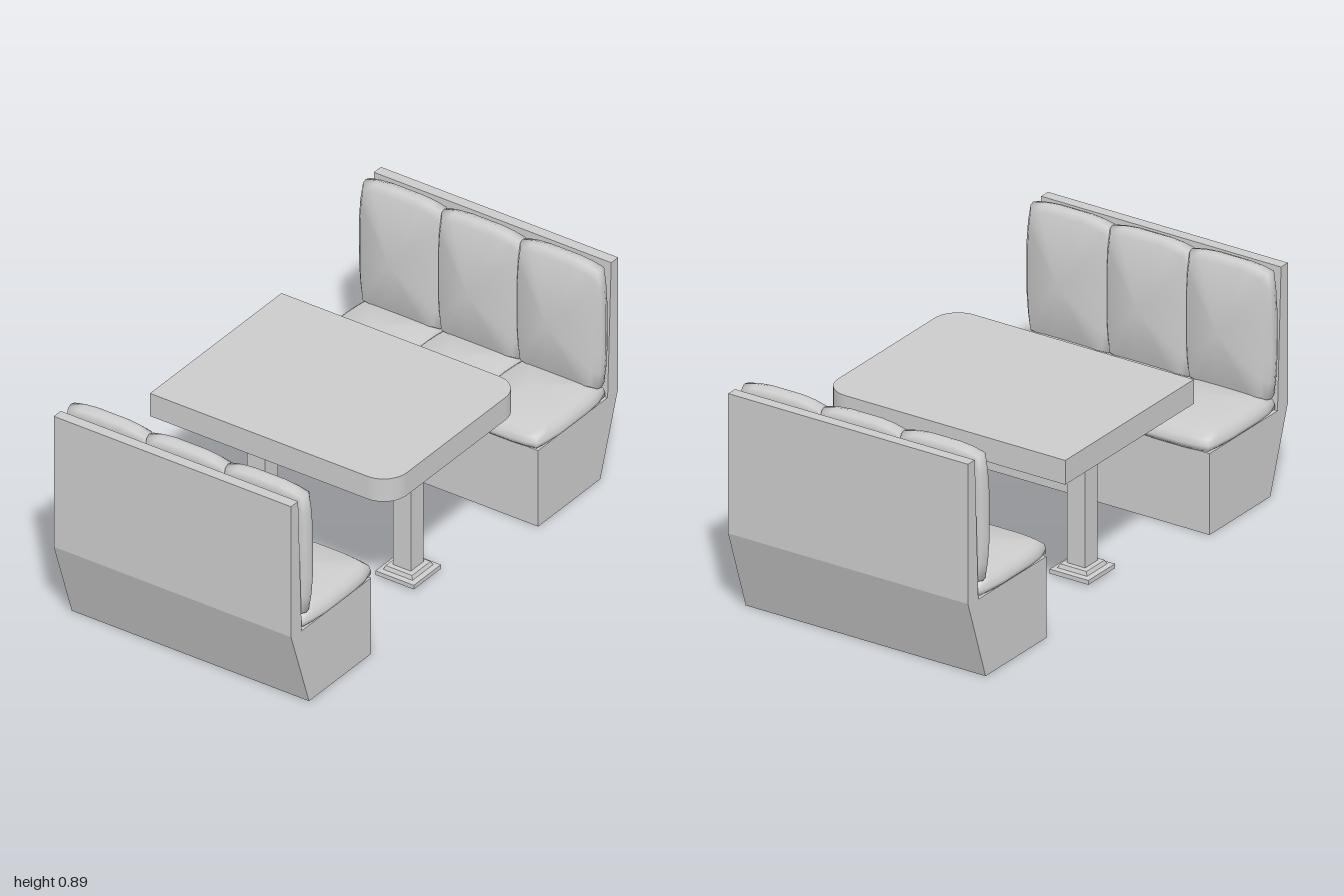
import * as THREE from 'three';

const grey = new THREE.MeshStandardMaterial({ color: 0xcccccc });
const flatGrey = new THREE.MeshStandardMaterial({ color: 0xcccccc, flatShading: true });

function addMesh(parent, name, geometry, material = flatGrey) {
  const mesh = new THREE.Mesh(geometry, material);
  mesh.name = name;
  parent.add(mesh);
  return mesh;
}

// Closed outline of a rectangle whose sides bow outward, counter-clockwise
function bowedOutline(halfW, halfL, bow) {
  const steps = [[-1, 0], [-0.72, 0.65], [-0.4, 1], [0.4, 1], [0.72, 0.65]];
  const points = [];
  for (const [t, b] of steps) points.push([t * halfW, -halfL - b * bow]);
  for (const [t, b] of steps) points.push([halfW + b * bow, t * halfL]);
  for (const [t, b] of steps) points.push([-t * halfW, halfL + b * bow]);
  for (const [t, b] of steps) points.push([-halfW - b * bow, -t * halfL]);
  return points;
}

// Padded cushion lying in XY and puffed toward +Z; rings are [inset, bow, height]
function cushionGeometry(halfW, halfL, rings, peak) {
  const positions = [];
  const index = [];
  const n = 20;
  for (const [inset, bow, h] of rings) {
    for (const [x, y] of bowedOutline(halfW - inset, halfL - inset, bow)) positions.push(x, y, h);
  }
  for (let r = 0; r < rings.length - 1; r++) {
    for (let i = 0; i < n; i++) {
      const a = r * n + i, b = r * n + (i + 1) % n;
      index.push(a, b, b + n, a, b + n, a + n);
    }
  }
  const bottom = rings.length * n, top = bottom + 1, last = bottom - n;
  positions.push(0, 0, rings[0][2], 0, 0, peak);
  for (let i = 0; i < n; i++) {
    const j = (i + 1) % n;
    index.push(bottom, j, i, top, last + i, last + j);
  }
  const geometry = new THREE.BufferGeometry();
  geometry.setAttribute('position', new THREE.Float32BufferAttribute(positions, 3));
  geometry.setIndex(index);
  geometry.computeVertexNormals();
  return geometry;
}

// Bench on the +z side, facing the table
function createBench(name) {
  const bench = new THREE.Group();
  bench.name = name;

  // Seat box and backrest panel share one side profile (z, y)
  const profile = new THREE.Shape([
    [0.51, 0], [0.89, 0], [1, 0.325], [1, 0.872], [0.957, 0.872], [0.935, 0.318], [0.51, 0.318],
  ].map(([z, y]) => new THREE.Vector2(z, y)));
  const shell = new THREE.ExtrudeGeometry(profile, { depth: 1.026, bevelEnabled: false });
  shell.rotateY(-Math.PI / 2).translate(0.513, 0, 0);
  addMesh(bench, 'benchShell', shell);

  const seat = cushionGeometry(0.17, 0.208,
    [[0.012, 0.01, 0], [0, 0.015, 0.015], [0, 0.019, 0.03], [0.005, 0.014, 0.052], [0.022, 0.012, 0.068]], 0.11);
  seat.rotateX(-Math.PI / 2);
  const back = cushionGeometry(0.17, 0.248,
    [[0.02, 0.008, 0], [0.005, 0.014, 0.012], [0, 0.019, 0.035], [0.003, 0.017, 0.055], [0.018, 0.012, 0.078]], 0.135);
  back.rotateY(Math.PI);
  for (const x of [-0.34, 0, 0.34]) {
    addMesh(bench, 'seatCushion', seat, grey).position.set(x, 0.315, 0.715);
    addMesh(bench, 'backCushion', back, grey).position.set(x, 0.625, 0.937);
  }
  return bench;
}

function createTable() {
  const table = new THREE.Group();
  table.name = 'table';

  // Top with two rounded corners at the +x end
  const w = 0.52, d = 0.402, r = 0.1;
  const outline = new THREE.Shape();
  outline.moveTo(-w, -d);
  outline.lineTo(w - r, -d);
  outline.absarc(w - r, -d + r, r, -Math.PI / 2, 0);
  outline.lineTo(w, d - r);
  outline.absarc(w - r, d - r, r, 0, Math.PI / 2);
  outline.lineTo(-w, d);
  outline.closePath();
  const top = new THREE.ExtrudeGeometry(outline, { depth: 0.095, bevelEnabled: false, curveSegments: 8 });
  top.rotateX(Math.PI / 2).translate(0, 0.653, 0);
  addMesh(table, 'tableTop', top, grey);

  // Square stepped foot, hollow underneath: [half width, y]
  const footProfile = [
    [0, 0.022], [0.05, 0.022], [0.062, 0.006], [0.083, 0.006], [0.083, 0.023],
    [0.063, 0.026], [0.057, 0.041], [0.038, 0.043],
  ].map(([h, y]) => new THREE.Vector2(h * Math.SQRT2, y));
  const foot = new THREE.LatheGeometry(footProfile, 4, Math.PI / 4);

  for (const x of [-0.315, 0.315]) {
    const leg = new THREE.Group();
    leg.name = 'tableLeg';
    leg.position.set(x, 0, 0.004);
    addMesh(leg, 'foot', foot);
    addMesh(leg, 'column', new THREE.BoxGeometry(0.078, 0.5, 0.078)).position.y = 0.28;
    addMesh(leg, 'mountingPlate', new THREE.BoxGeometry(0.228, 0.034, 0.228)).position.y = 0.542;
    table.add(leg);
  }
  return table;
}

export function createModel() {
  const model = new THREE.Group();
  model.name = 'diningBooth';
  const rearBench = createBench('rearBench');
  rearBench.rotation.y = Math.PI;
  model.add(createBench('frontBench'), rearBench, createTable());
  return model;
}
